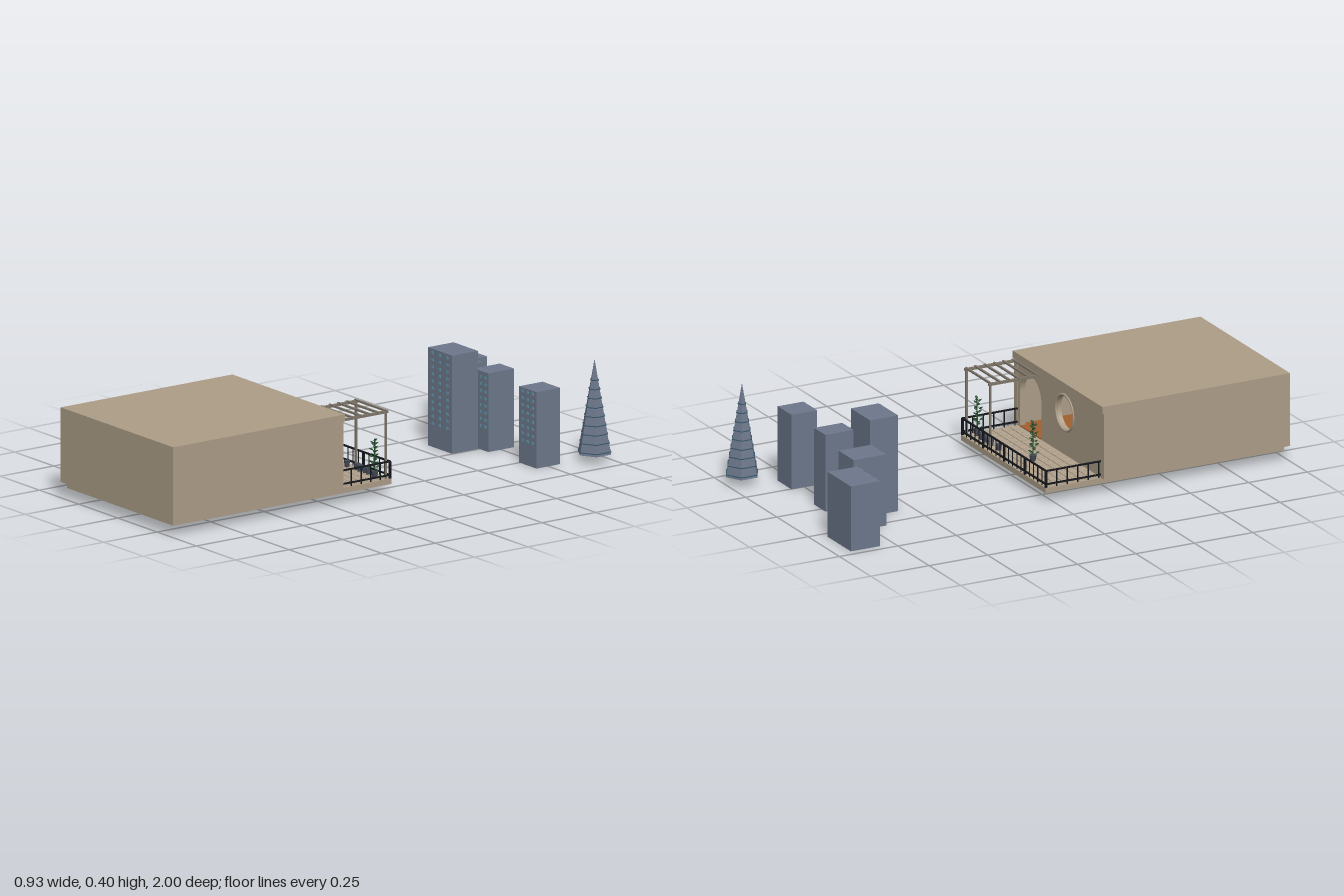
import * as THREE from 'three';

const mat = (name, color) => {
  const m = new THREE.MeshStandardMaterial({ color });
  m.name = name;
  return m;
};

export function createModel() {
  const root = new THREE.Group();
  root.name = 'terraceHouse';
  const beige = mat('beige plaster', 0xac9d87);
  const tileMat = mat('tile', 0xb2a38d);
  const wood = mat('grey wood', 0x80776b);
  const black = mat('black iron', 0x15171b);
  const slate = mat('slate', 0x6d788b);
  const teal = mat('teal glass', 0x5f9bb0);
  const band = mat('dark teal', 0x34566a);
  const terracotta = mat('terracotta', 0xa0602f);
  const green = mat('leaf green', 0x24502f);
  const potMat = mat('dark pot', 0x454b58);

  const group = (name, parent = root) => {
    const g = new THREE.Group();
    g.name = name;
    parent.add(g);
    return g;
  };
  const put = (parent, name, geo, m, x = 0, y = 0, z = 0) => {
    const mesh = new THREE.Mesh(geo, m);
    mesh.name = name;
    mesh.position.set(x, y, z);
    parent.add(mesh);
    return mesh;
  };
  // box from its minimum and maximum corners
  const box = (parent, name, m, x0, x1, y0, y1, z0, z1) =>
    put(parent, name, new THREE.BoxGeometry(x1 - x0, y1 - y0, z1 - z0), m,
      (x0 + x1) / 2, (y0 + y1) / 2, (z0 + z1) / 2);

  // house shell, open inside
  const house = group('house');
  box(house, 'floorSlab', beige, -0.345, 0.332, 0.04, 0.062, -0.035, 0.985);
  box(house, 'roof', beige, -0.365, 0.352, 0.325, 0.353, 0.197, 1);
  box(house, 'rightWall', beige, -0.365, -0.34, 0.062, 0.325, 0.203, 1);
  box(house, 'leftWall', beige, 0.327, 0.352, 0.062, 0.325, 0.203, 1);
  box(house, 'frontWall', beige, -0.34, 0.327, 0.062, 0.325, 0.975, 1);
  box(house, 'roomFloor', terracotta, -0.34, 0.327, 0.062, 0.066, 0.205, 0.975);
  box(house, 'table', wood, 0.05, 0.22, 0.11, 0.12, 0.48, 0.62);
  for (const x of [0.06, 0.2]) for (const z of [0.49, 0.6])
    box(house, 'tableLeg', wood, x, x + 0.01, 0.066, 0.11, z, z + 0.01);

  // garden wall with an arched doorway and a round window
  const doorX = 0.222, doorR = 0.085, spring = 0.205;
  const wall = new THREE.Shape();
  wall.moveTo(-0.34, 0.062);
  wall.lineTo(doorX - doorR, 0.062);
  wall.lineTo(doorX - doorR, spring);
  wall.absarc(doorX, spring, doorR, Math.PI, 0, true);
  wall.lineTo(doorX + doorR, 0.062);
  wall.lineTo(0.327, 0.062);
  wall.lineTo(0.327, 0.325);
  wall.lineTo(-0.34, 0.325);
  const hole = new THREE.Path();
  hole.absarc(-0.05, 0.23, 0.07, 0, Math.PI * 2, true);
  wall.holes.push(hole);
  put(house, 'gardenWall', new THREE.ExtrudeGeometry(wall,
    { depth: 0.022, bevelEnabled: false, curveSegments: 24 }), beige, 0, 0, 0.205);
  put(house, 'windowFrame', new THREE.TorusGeometry(0.071, 0.005, 8, 40), beige, -0.05, 0.23, 0.205);

  // terrace paving
  const paving = group('paving');
  const nx = 16, nz = 6, pw = 0.65 / nx, pd = 0.22 / nz;
  for (let i = 0; i < nx; i++) for (let j = 0; j < nz; j++) {
    const x = -0.332 + i * pw, z = -0.022 + j * pd;
    box(paving, 'tile', tileMat, x + 0.002, x + pw - 0.002, 0.062, 0.065, z + 0.002, z + pd - 0.002);
  }

  // railing around three sides
  const railing = group('railing');
  const L = -0.341, R = 0.328, B = -0.031, t = 0.003;
  for (const y of [0.075, 0.128]) {
    box(railing, 'backRail', black, L - t, R + t, y - t, y + t, B - t, B + t);
    for (const x of [L, R]) box(railing, 'sideRail', black, x - t, x + t, y - t, y + t, B, 0.205);
  }
  const bar = (x, z, r) => box(railing, 'baluster', black, x - r, x + r, 0.062, 0.128, z - r, z + r);
  for (let i = 0; i <= 20; i++) bar(L + (R - L) * i / 20, B, i % 5 ? 0.0015 : 0.004);
  for (const x of [L, R]) for (let i = 1; i <= 5; i++) bar(x, B + i * 0.045, 0.002);

  // pergola over the doorway
  const pergola = group('pergola');
  for (const x of [0.133, 0.322]) {
    box(pergola, 'post', wood, x - 0.004, x + 0.004, 0.062, 0.322, -0.02, -0.012);
    box(pergola, 'sideBeam', wood, x - 0.005, x + 0.005, 0.318, 0.328, -0.024, 0.205);
  }
  for (let i = 0; i < 6; i++) {
    const z = -0.016 + i * 0.04;
    box(pergola, 'slat', wood, 0.126, 0.329, 0.324, 0.331, z - 0.004, z + 0.004);
  }

  // potted plants: stem with a spiral of small leaves
  const potGeo = (r, h) => new THREE.CylinderGeometry(r, r * 0.7, h, 12);
  const leaf = new THREE.SphereGeometry(1, 6, 4);
  const plant = (x, z, height, spread) => {
    const g = group('plant');
    g.position.set(x, 0.065, z);
    put(g, 'pot', potGeo(0.014, 0.025), potMat, 0, 0.0125, 0);
    put(g, 'stem', new THREE.CylinderGeometry(0.002, 0.003, height - 0.02, 6), green, 0, height / 2 + 0.01, 0);
    const n = 22;
    for (let i = 0; i < n; i++) {
      const a = i * 2.4, k = i / (n - 1), r = spread * (0.45 + 0.55 * Math.sin(i * 1.9) ** 2) * (1 - 0.55 * k);
      const l = put(g, 'leaf', leaf, green, Math.cos(a) * r, 0.03 + k * (height - 0.03), Math.sin(a) * r);
      l.scale.set(0.009, 0.003, 0.006);
      l.rotation.set(0, -a, 0.5);
    }
  };
  plant(-0.062, 0.062, 0.155, 0.02);
  plant(0.29, 0.012, 0.15, 0.022);
  [0.105, 0.162, 0.187, 0.212, 0.24].forEach((x, i) =>
    put(root, 'smallPot', potGeo(0.012, 0.025), potMat, x, 0.0775, i % 2 ? 0.002 : 0.006));

  // distant city blocks with windows on the front face
  const blocks = [
    [-0.47, -0.285, -0.935, -0.81, 0.26],
    [-0.278, -0.157, -0.82, -0.68, 0.285],
    [-0.157, -0.003, -0.685, -0.565, 0.383],
    [-0.033, 0.057, -0.81, -0.69, 0.307],
    [0.247, 0.357, -0.805, -0.695, 0.298],
  ];
  for (const [x0, x1, z0, z1, h] of blocks) {
    const g = group('cityBlock');
    box(g, 'tower', slate, x0, x1, 0, h, z0, z1);
    for (let c = -1; c <= 1; c++) for (let y = 0.093; y < h; y += 0.0275) {
      const x = (x0 + x1) / 2 + c * 0.3 * (x1 - x0);
      box(g, 'window', teal, x - 0.006, x + 0.006, y - 0.005, Math.min(y + 0.005, h), z1 - 0.002, z1 + 0.002);
    }
  }

  // hexagonal spire with floor bands
  const spire = group('spire');
  spire.position.set(0.4, 0.033, -0.935);
  const cone = new THREE.ConeGeometry(0.068, 0.367, 6).toNonIndexed();
  cone.computeVertexNormals();
  put(spire, 'spireBody', cone, slate, 0, 0.1835, 0);
  for (let i = 0; i < 9; i++) {
    const y = 0.01 + i * 0.0345, r = 0.068 * (1 - y / 0.367) + 0.003;
    const b = new THREE.CylinderGeometry(r, r, 0.003, 6).toNonIndexed();
    b.computeVertexNormals();
    put(spire, 'floorBand', b, band, 0, y, 0);
  }
  return root;
}
